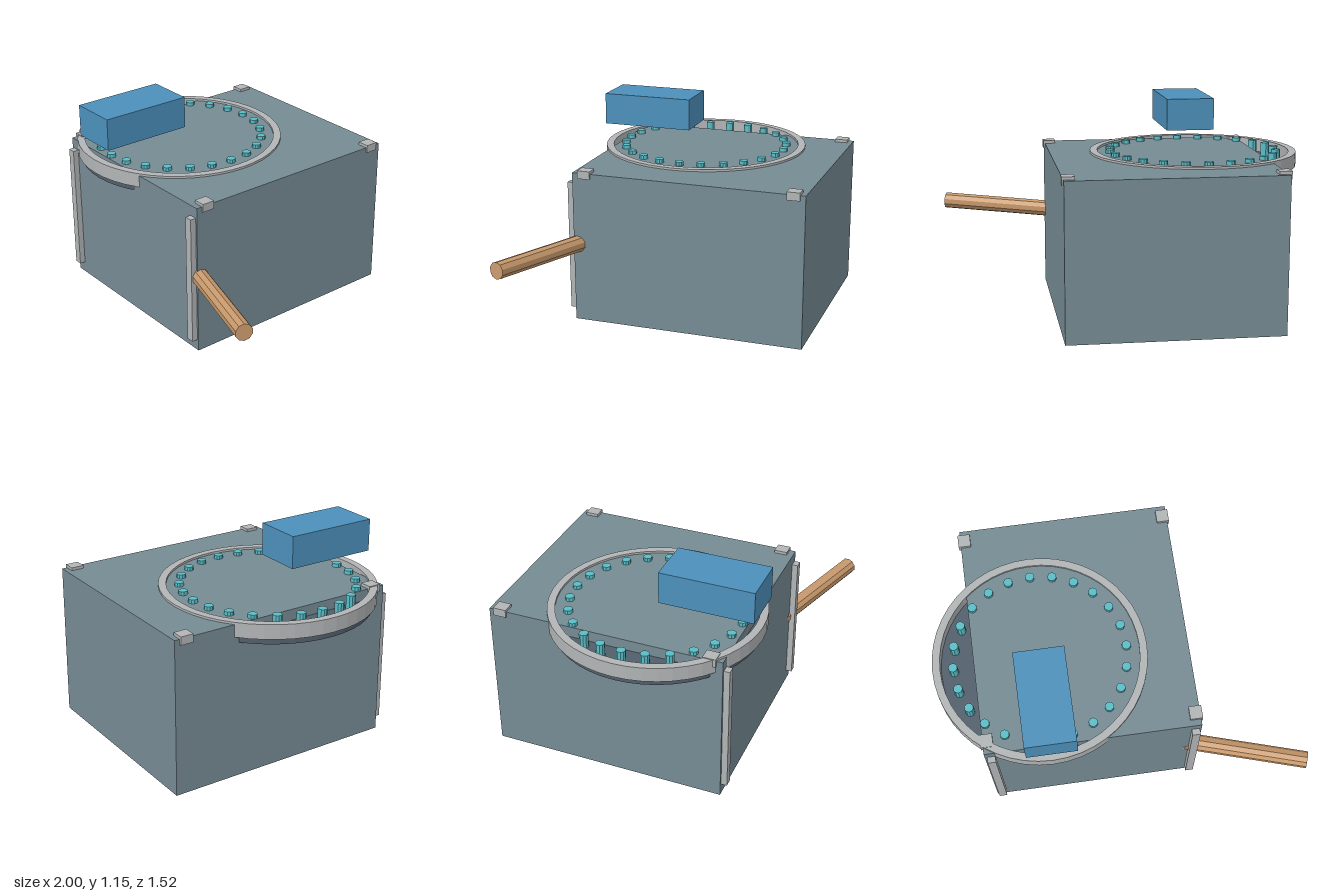
import * as THREE from 'three';

const flat = (name, color) => {
  const m = new THREE.MeshStandardMaterial({ color });
  m.name = name;
  m.flatShading = true;
  return m;
};

export function createModel() {
  const group = new THREE.Group();
  const slate = flat('slate', 0x768b94);
  const darkSlate = flat('dark slate', 0x515f6b);
  const grey = flat('light grey', 0xb2b5b6);
  const teal = flat('teal', 0x5abdc7);
  const blue = flat('blue', 0x4c90bb);
  const wood = flat('wood', 0xc8996c);

  const add = (name, geometry, material, x, y, z) => {
    const mesh = new THREE.Mesh(geometry, material);
    mesh.name = name;
    mesh.position.set(x, y, z);
    group.add(mesh);
    return mesh;
  };

  // Main block
  add('body', new THREE.BoxGeometry(1.17, 0.858, 1.31), slate, -0.19, 0.429, -0.115);

  // Sunken round plate with a raised rim
  const cx = -0.415, cz = 0.04;
  add('plate', new THREE.CylinderGeometry(0.564, 0.564, 0.043, 48), darkSlate, cx, 0.7765, cz);
  const rimProfile = [[0.543, 0.79], [0.585, 0.79], [0.585, 0.87], [0.543, 0.87], [0.543, 0.79]]
    .map(([r, y]) => new THREE.Vector2(r, y));
  add('rim', new THREE.LatheGeometry(rimProfile, 48), grey, cx, 0, cz);

  // Ring of pegs
  const pegGeometry = new THREE.CylinderGeometry(0.025, 0.025, 0.085, 10);
  for (let i = 0; i < 24; i++) {
    const a = (i / 24) * Math.PI * 2;
    add('peg', pegGeometry, teal, cx + 0.473 * Math.cos(a), 0.837, cz + 0.473 * Math.sin(a));
  }

  // Floating block above the plate
  add('upperBlock', new THREE.BoxGeometry(0.272, 0.18, 0.52), blue, cx, 1.06, 0.36);

  // Front posts and corner caps
  for (const x of [-0.74, 0.363]) {
    add('frontPost', new THREE.BoxGeometry(0.044, 0.735, 0.06), grey, x, 0.432, 0.543);
  }
  for (const x of [-0.753, 0.37]) {
    for (const z of [-0.705, 0.47]) {
      add('cornerCap', new THREE.BoxGeometry(0.068, 0.045, 0.072), grey, x, 0.852, z);
    }
  }

  // Slanted handle through the front corner
  const start = new THREE.Vector3(0.2, 0.44, 0.457);
  const end = new THREE.Vector3(0.984, 0.476, 0.712);
  const axis = end.clone().sub(start);
  const mid = start.clone().add(end).multiplyScalar(0.5);
  const handle = add('handle', new THREE.CylinderGeometry(0.047, 0.047, axis.length(), 10), wood, mid.x, mid.y, mid.z);
  handle.quaternion.setFromUnitVectors(new THREE.Vector3(0, 1, 0), axis.normalize());

  return group;
}
